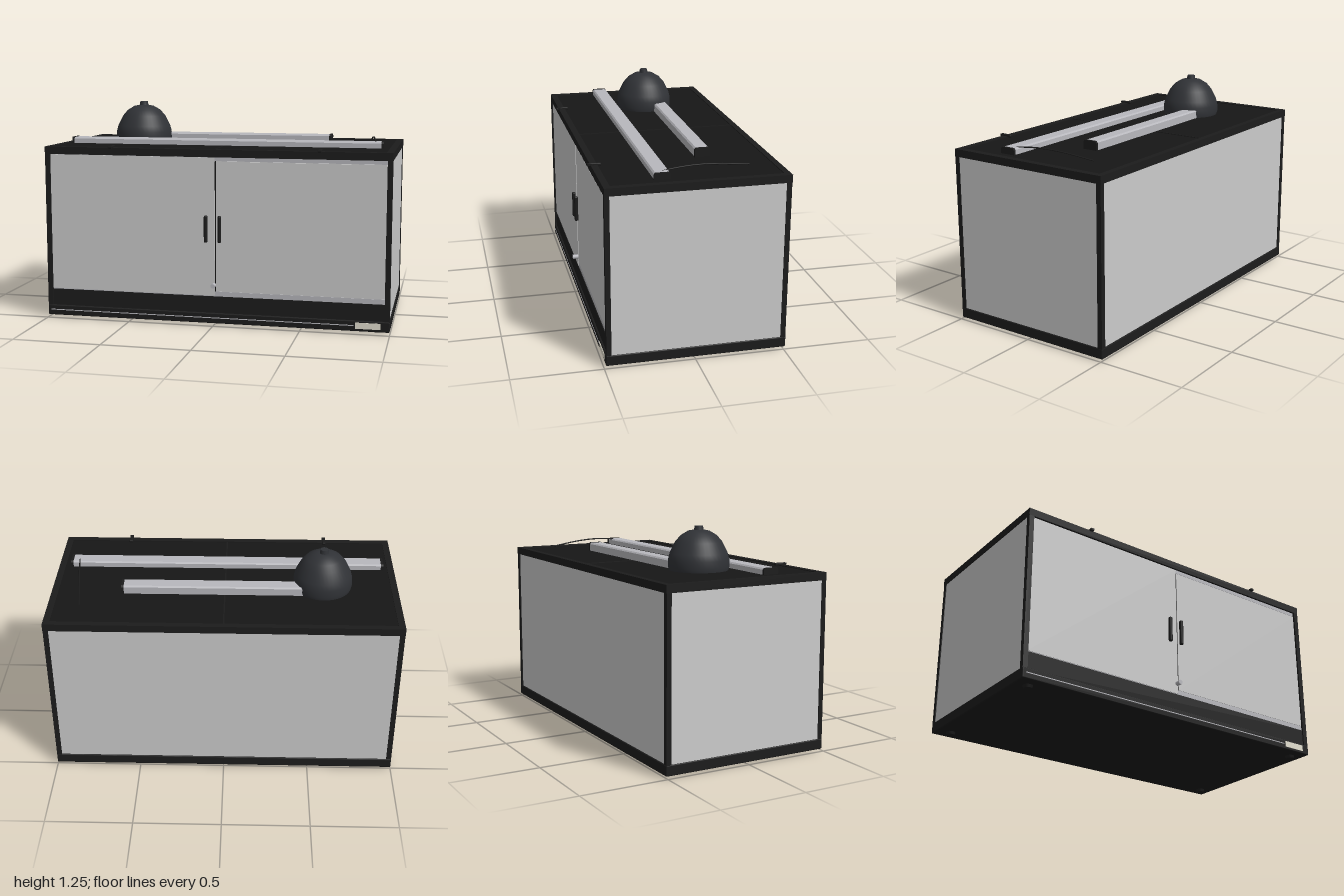
import * as THREE from 'three';
import { RoundedBoxGeometry } from 'three/addons/geometries/RoundedBoxGeometry.js';

const mat = (color) => new THREE.MeshStandardMaterial({ color });

export function createModel() {
  const root = new THREE.Group();
  const black = mat(0x1c1c1c), mesh = mat(0x161616), dome = mat(0x303236);
  const grey = mat(0xcccccc), metal = mat(0xb8b8bd), cream = mat(0xe4e0d0);

  const add = (name, geometry, material, x = 0, y = 0, z = 0) => {
    const m = new THREE.Mesh(geometry, material);
    m.name = name;
    m.position.set(x, y, z);
    root.add(m);
    return m;
  };
  // Box given by its minimum and maximum on each axis
  const box = (name, material, [x0, x1], [y0, y1], [z0, z1], radius = 0) => {
    const size = [x1 - x0, y1 - y0, z1 - z0];
    const g = radius ? new RoundedBoxGeometry(...size, 2, radius) : new THREE.BoxGeometry(...size);
    return add(name, g, material, (x0 + x1) / 2, (y0 + y1) / 2, (z0 + z1) / 2);
  };

  // Base tray, trim line and front vent
  box('base', black, [-1, 1], [0.015, 0.075], [-0.51, 0.49], 0.006);
  box('frontVent', black, [-0.985, 0.985], [0.07, 0.17], [0.45, 0.479]);
  box('baseTrim', metal, [-0.98, 0.8], [0.045, 0.05], [0.485, 0.492]);
  box('label', cream, [0.81, 0.95], [0.03, 0.065], [0.485, 0.493]);
  for (const x of [-0.92, 0.92])
    for (const z of [0.41, -0.43])
      add('foot', new THREE.CylinderGeometry(0.028, 0.022, 0.017, 20), black, x, 0.0085, z);

  // Corner posts
  for (const s of [-1, 1]) {
    for (const [z0, z1] of [[0.46, 0.487], [-0.508, -0.48]])
      box('cornerPost', black, s < 0 ? [-0.999, -0.97] : [0.97, 0.999], [0.07, 0.975], [z0, z1]);
    // Side glass
    box('sidePane', grey, s < 0 ? [-0.995, -0.983] : [0.983, 0.995], [0.07, 0.975], [-0.485, 0.465]);
  }
  box('backPane', grey, [-0.975, 0.975], [0.07, 0.975], [-0.503, -0.49]);

  // Top frame with recessed mesh screens and a cross bar
  box('frontTopRail', black, [-1, 1], [0.967, 1.01], [0.45, 0.487]);
  box('backTopRail', black, [-1, 1], [0.967, 1.01], [-0.51, -0.475]);
  for (const s of [-1, 1])
    box('sideTopRail', black, s < 0 ? [-1, -0.962] : [0.962, 1], [0.967, 1.01], [-0.476, 0.451]);
  box('meshScreen', mesh, [-0.963, 0.963], [0.98, 1.005], [-0.476, 0.451]);
  box('crossBar', black, [-0.004, 0.004], [0.98, 1.009], [-0.476, 0.451]);

  // Sliding-door tracks and glass doors
  box('topTrack', metal, [-0.972, 0.972], [0.945, 0.968], [0.45, 0.475]);
  box('bottomTrack', metal, [-0.972, 0.972], [0.17, 0.198], [0.45, 0.475]);
  box('rightDoor', grey, [-0.972, 0.008], [0.175, 0.965], [0.466, 0.478]);
  box('leftDoor', grey, [0.015, 0.972], [0.199, 0.943], [0.464, 0.476]);
  box('doorSeam', mesh, [0.008, 0.015], [0.199, 0.943], [0.462, 0.474]);
  for (const x of [-0.043, 0.036])
    box('doorHandle', black, [x - 0.01, x + 0.01], [0.482, 0.636], [0.474, 0.497], 0.008);
  const lock = add('lock', new THREE.CylinderGeometry(0.013, 0.013, 0.04, 20), metal, 0.003, 0.235, 0.49);
  lock.rotation.x = Math.PI / 2;

  // Screen clips on the front edge
  for (const x of [-0.6, 0.6]) {
    box('clip', black, [x - 0.01, x + 0.01], [1.005, 1.02], [0.43, 0.505], 0.004);
    box('clipHook', black, [x - 0.01, x + 0.01], [1.007, 1.018], [0.48, 0.505]);
  }

  // Light bars: a chamfered profile extruded along x, with dark end caps
  const lightBar = (name, x0, x1, z, halfWidth, top) => {
    const h = top - 1.01, c = 0.008;
    const profile = (grow) => {
      const w = halfWidth + grow;
      return new THREE.Shape([
        [-w, 0], [w, 0], [w, h - c], [w - c, h + grow], [c - w, h + grow], [-w, h - c],
      ].map(([a, b]) => new THREE.Vector2(a, b)));
    };
    const part = (label, material, grow, a, b) => {
      const g = new THREE.ExtrudeGeometry(profile(grow), { depth: b - a, bevelEnabled: false });
      g.rotateY(Math.PI / 2);
      add(label, g, material, a, 1.01, z);
    };
    part(name, metal, 0, x0 + 0.012, x1 - 0.012);
    part(name + 'Cap', black, 0.002, x0, x0 + 0.014);
    part(name + 'Cap', black, 0.002, x1 - 0.014, x1);
  };
  lightBar('frontLightBar', -0.935, 0.928, 0.167, 0.044, 1.045);
  lightBar('rearLightBar', -0.6, 0.595, -0.135, 0.042, 1.06);

  // Dome lamp with knob
  const domeProfile = [
    [0.165, 1.01], [0.17, 1.03], [0.169, 1.07], [0.16, 1.105], [0.13, 1.165],
    [0.1, 1.2], [0.06, 1.224], [0.03, 1.23], [0, 1.231],
  ].map(([r, y]) => new THREE.Vector2(r, y));
  const domeMat = mat(0x303236);
  domeMat.side = THREE.DoubleSide;
  add('domeLamp', new THREE.LatheGeometry(domeProfile, 40), domeMat, -0.565, 0, -0.06);
  add('domeKnob', new THREE.CylinderGeometry(0.023, 0.027, 0.026, 20), dome, -0.565, 1.239, -0.06);

  // Cable arching from the front light bar
  const path = new THREE.CatmullRomCurve3([
    [0.88, 1.04, 0.17], [0.87, 1.049, 0.09], [0.857, 1.054, -0.02],
    [0.84, 1.047, -0.15], [0.817, 1.024, -0.33],
  ].map((p) => new THREE.Vector3(...p)));
  add('cable', new THREE.TubeGeometry(path, 32, 0.004, 8), black);

  return root;
}
